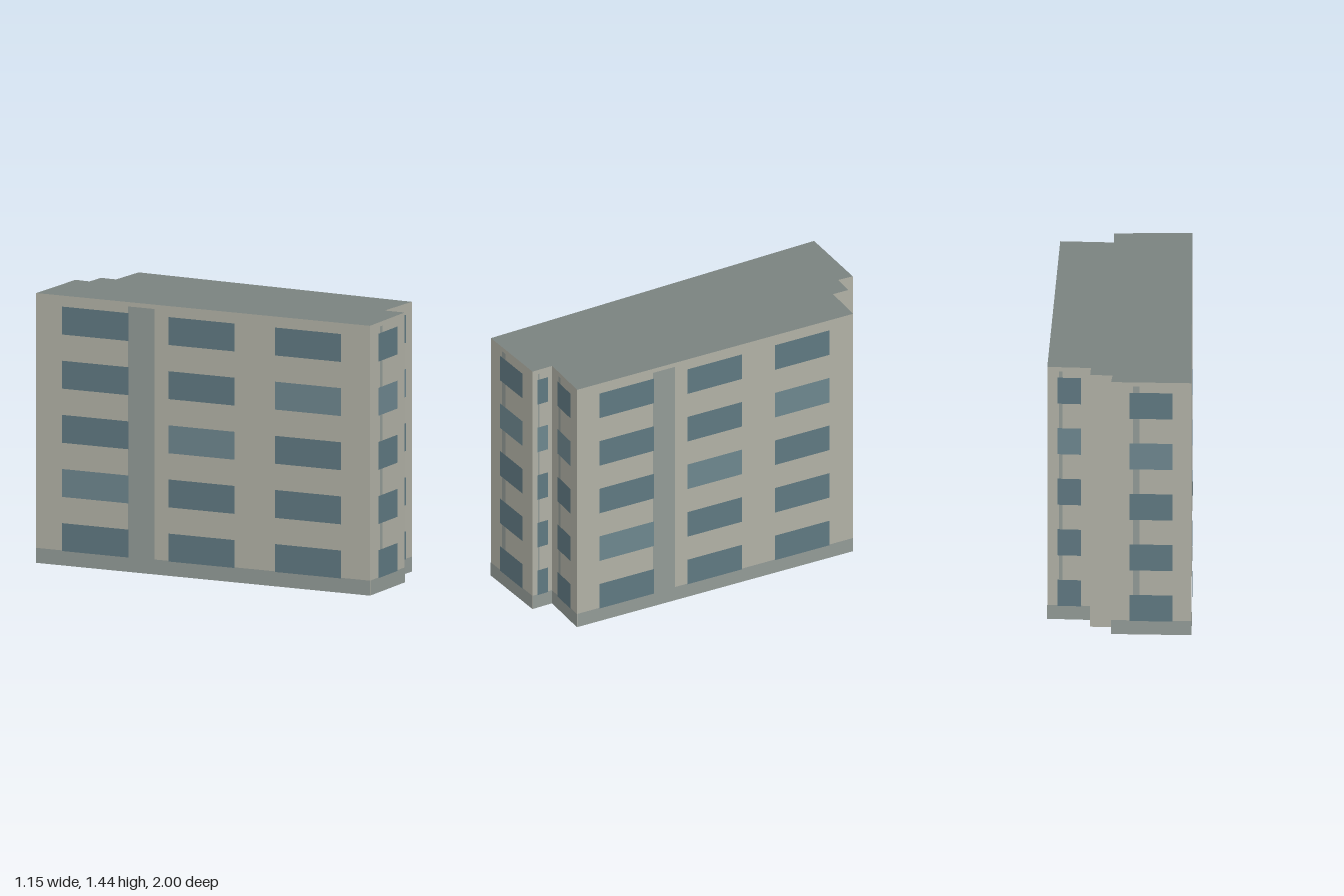
import * as THREE from 'three';

const HEIGHT = 1.44;
const FLOORS = 5;
const FLOOR_STEP = 0.289;

// Footprint as [x, z], each side running left to right when seen from outside
const footprint = [
  [-0.575, -0.905], [-0.065, 1.0], [0.33, 0.885], [0.3, 0.77], [0.575, 0.712],
  [0.21, -0.895], [-0.015, -0.85], [-0.035, -0.938], [-0.15, -0.915], [-0.165, -1.0],
];

const paint = (color, side = THREE.FrontSide) =>
  new THREE.MeshStandardMaterial({ color, side, roughness: 0.9 });

export function createModel() {
  const model = new THREE.Group();
  model.name = 'apartmentBlock';
  const wallPaint = paint(0xb0b0a5, THREE.DoubleSide);
  const roofPaint = paint(0x7a827f, THREE.DoubleSide);
  const trimPaint = paint(0x929a96);
  const glass = paint(0x5f7881);
  const paleGlass = paint(0x6d868e);

  // Flat panel on a side: u0..u1 along it (0 to 1), y0..y1 in height, lifted outward
  function panel(name, [p, q], u0, u1, y0, y1, lift, material) {
    const dx = q[0] - p[0], dz = q[1] - p[1];
    const length = Math.hypot(dx, dz);
    const u = (u0 + u1) / 2;
    const mesh = new THREE.Mesh(new THREE.PlaneGeometry((u1 - u0) * length, y1 - y0), material);
    mesh.name = name;
    mesh.position.set(
      p[0] + dx * u - (dz / length) * lift,
      (y0 + y1) / 2,
      p[1] + dz * u + (dx / length) * lift,
    );
    mesh.rotation.y = Math.atan2(-dz, dx);
    return mesh;
  }

  footprint.forEach((p, i) => {
    const edge = [p, footprint[(i + 1) % footprint.length]];
    const length = Math.hypot(edge[1][0] - p[0], edge[1][1] - p[1]);
    const side = new THREE.Group();
    side.name = `side${i + 1}`;
    model.add(side);
    side.add(panel('wall', edge, 0, 1, 0, HEIGHT, 0, wallPaint));
    // The small steps at the back stay plain
    if (length < 0.118) return;

    // Base band and vertical stair strip
    side.add(panel('plinth', edge, 0, 1, 0, 0.08, 0.002, trimPaint));
    side.add(panel('stairStrip', edge, 0.275, 0.355, 0.08, 1.417, 0.002, trimPaint));

    // Three columns of windows on the long sides, one on the short ones
    const columns = length > 1 ? [0.178, 0.497, 0.815] : [0.5];
    const half = length > 1 ? 0.099 : 0.268;
    for (let floor = 0; floor < FLOORS; floor++) {
      const y = 0.077 + floor * FLOOR_STEP;
      columns.forEach((u, c) => {
        const pale = columns.length > 1 ? floor === c + 1 : floor === 3;
        side.add(panel('window', edge, u - half, u + half, y, y + 0.149, 0.004, pale ? paleGlass : glass));
      });
    }
  });

  // Flat roof; the block is open underneath
  const outline = new THREE.Shape(footprint.map(([x, z]) => new THREE.Vector2(x, -z)));
  const roof = new THREE.Mesh(new THREE.ShapeGeometry(outline), roofPaint);
  roof.name = 'roof';
  roof.rotation.x = -Math.PI / 2;
  roof.position.y = HEIGHT;
  model.add(roof);

  return model;
}
